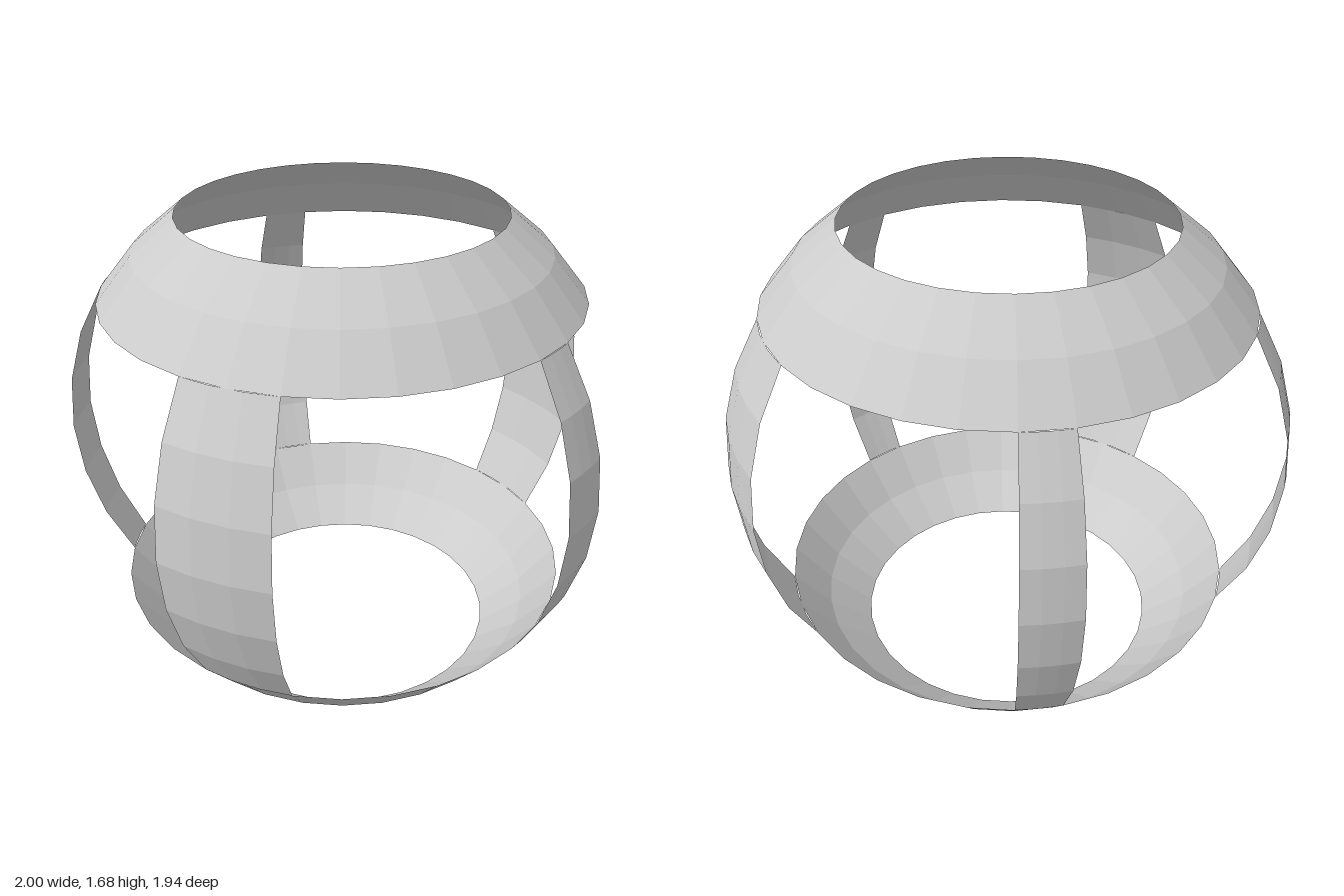
import * as THREE from 'three';

const R = 1.0097;            // sphere radius
const STEP = Math.PI / 16;   // one facet, around and from pole to pole

export function createModel() {
  const group = new THREE.Group();
  const material = new THREE.MeshStandardMaterial({
    color: 0xcccccc, flatShading: true, side: THREE.DoubleSide,
  });

  // A patch of a faceted sphere: columns counted from +x towards +z, rows from the top pole.
  const patch = (name, column, columns, row, rows) => {
    const geometry = new THREE.SphereGeometry(
      R, columns, rows,
      Math.PI - (column + columns) * STEP, columns * STEP,
      row * STEP, rows * STEP);
    const mesh = new THREE.Mesh(geometry, material);
    mesh.name = name;
    group.add(mesh);
  };

  // Sloping rings at the top and bottom
  patch('upperRing', 0, 32, 3, 2);
  patch('lowerRing', 0, 32, 11, 2);

  // Curved ribs joining the rings: [name, first column, number of columns]
  const ribs = [
    ['leftRib', 0, 2],
    ['frontRib', 7, 1],
    ['rightRib', 13, 2],
    ['backRightRib', 20, 1],
    ['backLeftRib', 26, 1],
  ];
  for (const [name, column, columns] of ribs) patch(name, column, columns, 5, 6);

  // Stand the cage on the ground and centre its outline
  for (const mesh of group.children) {
    mesh.position.set(-0.0097, R * Math.cos(3 * STEP), -0.0384);
  }
  return group;
}
